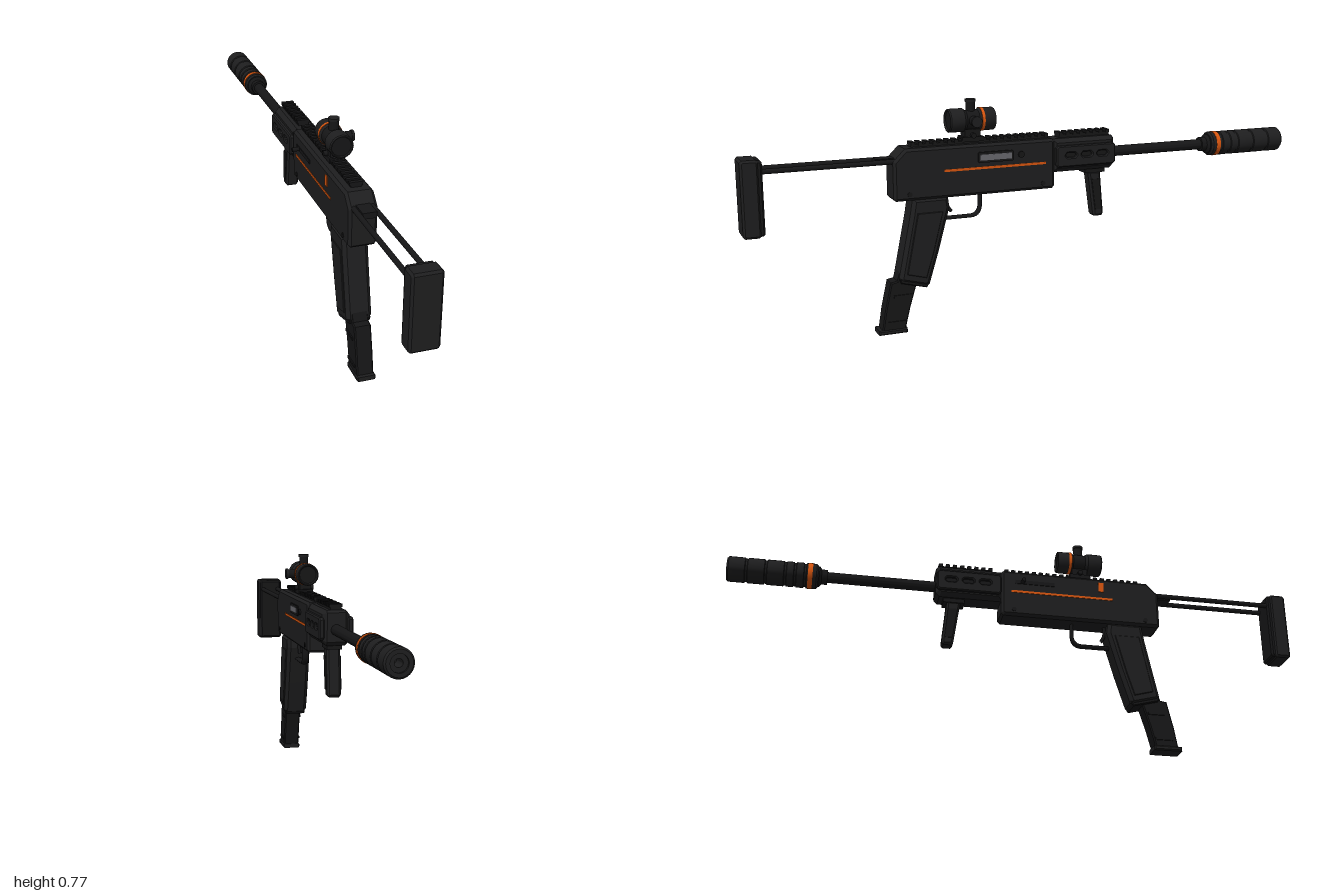
import * as THREE from 'three';
import { toCreasedNormals } from 'three/addons/utils/BufferGeometryUtils.js';

const mat = (name, color) => new THREE.MeshStandardMaterial({ name, color });

export function createModel() {
  const polymer = mat('black polymer', 0x1e1e1f);
  const metal = mat('dark metal', 0x161617);
  const orange = mat('orange accent', 0xd9560f);
  const steel = mat('grey steel', 0x68686e);

  const model = new THREE.Group();
  model.name = 'model';
  const body = new THREE.Group();
  body.name = 'carbine';
  body.position.x = 0.0035;
  model.add(body);

  const add = (name, geo, material) => {
    const m = new THREE.Mesh(geo, material);
    m.name = name;
    body.add(m);
    return m;
  };
  const box = (name, w, h, d, x, y, z, material) =>
    add(name, new THREE.BoxGeometry(w, h, d).translate(x, y, z), material);

  // Side profile of [z, y] points, extruded across x with bevelled edges
  const slab = (name, pts, width, bevel, material, x = 0, holes = []) => {
    const shape = new THREE.Shape(pts.map(p => new THREE.Vector2(...p)));
    for (const h of holes) shape.holes.push(new THREE.Path(h.map(p => new THREE.Vector2(...p))));
    const depth = width - 2 * bevel;
    const geo = new THREE.ExtrudeGeometry(shape, {
      depth, bevelEnabled: bevel > 0, bevelThickness: bevel, bevelSize: bevel,
      bevelOffset: -bevel, bevelSegments: 1,
    });
    geo.translate(0, 0, -depth / 2).rotateY(-Math.PI / 2).translate(x, 0, 0);
    return add(name, geo, material);
  };
  const rect = (z0, z1, y0, y1, c = 0) => c
    ? [[z0 + c, y0], [z1 - c, y0], [z1, y0 + c], [z1, y1 - c], [z1 - c, y1], [z0 + c, y1], [z0, y1 - c], [z0, y0 + c]]
    : [[z0, y0], [z1, y0], [z1, y1], [z0, y1]];

  // Turned part along z; points are [radius, z] with z increasing on the outside
  const turned = (name, pts, y, material, sides = 24) => {
    const geo = new THREE.LatheGeometry(pts.map(p => new THREE.Vector2(...p)), sides);
    return add(name, toCreasedNormals(geo.rotateX(Math.PI / 2).translate(0, y, 0), 0.6), material);
  };
  const knob = (name, r, len, x, y, z, axis, material) => {
    const geo = new THREE.CylinderGeometry(r, r, len, 16);
    if (axis === 'x') geo.rotateZ(Math.PI / 2);
    if (axis === 'z') geo.rotateX(Math.PI / 2);
    return add(name, geo.translate(x, y, z), material);
  };

  // Receiver
  slab('receiver', [[-0.06, 0.463], [-0.052, 0.455], [0.505, 0.455], [0.513, 0.463],
    [0.513, 0.587], [0.472, 0.628], [-0.052, 0.628], [-0.06, 0.62]], 0.094, 0.009, polymer);
  for (const s of [-1, 1]) {
    box('sideStripe', 0.003, 0.008, 0.365, s * 0.0475, 0.547, 0.158, orange);
    for (const z of [-0.015, 0.46]) knob('receiverPin', 0.008, 0.003, s * 0.048, 0.477, z, 'x', metal);
  }

  // Ejection port, forward button, selector mark and charging handle
  slab('ejectionFrame', rect(0.095, 0.222, 0.565, 0.601, 0.004), 0.006, 0, metal, 0.049);
  box('ejectionPort', 0.003, 0.02, 0.112, 0.053, 0.583, 0.159, steel);
  knob('boltButton', 0.011, 0.008, 0.049, 0.583, 0.066, 'x', metal);
  box('selectorMark', 0.004, 0.036, 0.018, -0.048, 0.592, 0.3, orange);
  box('chargingSlot', 0.003, 0.014, 0.14, -0.048, 0.585, 0.06, metal);
  knob('chargingHandle', 0.007, 0.03, -0.058, 0.585, 0.016, 'x', metal);

  // Handguard: chamfered core with slotted side panels
  slab('handguard', [[-0.29, 0.522], [-0.277, 0.509], [-0.055, 0.509], [-0.055, 0.625],
    [-0.282, 0.625], [-0.29, 0.617]], 0.09, 0.014, polymer);
  const slots = [-0.118, -0.178, -0.238].map(z => rect(z - 0.02, z + 0.02, 0.56, 0.577, 0.006));
  for (const s of [-1, 1]) {
    slab('handguardPanel', rect(-0.288, -0.062, 0.528, 0.602, 0.008), 0.018, 0.004, polymer, s * 0.048, slots);
    box('ventShadow', 0.004, 0.022, 0.17, s * 0.044, 0.568, -0.178, metal);
  }

  // Top rails with evenly spaced teeth
  const rail = (name, z0, z1) => {
    box(name, 0.036, 0.012, z1 - z0, 0, 0.631, (z0 + z1) / 2, metal);
    const n = Math.round((z1 - z0) / 0.0245);
    for (let i = 0; i < n; i++) {
      const z = z0 + 0.007 + i * (z1 - z0 - 0.014) / (n - 1);
      box(name + 'Tooth', 0.044, 0.011, 0.014, 0, 0.639, z, metal);
    }
  };
  rail('receiverRail', -0.045, 0.445);
  rail('handguardRail', -0.28, -0.088);

  // Barrel and suppressor
  const axisY = 0.561;
  turned('barrel', [[0.0185, -0.67], [0.0185, -0.28]], axisY, metal);
  turned('muzzleCollar', [[0.036, -0.697], [0.036, -0.69], [0.026, -0.682], [0.026, -0.662], [0, -0.662]], axisY, metal);
  const can = [[0, -0.93], [0.012, -0.93], [0.012, -0.992], [0.026, -0.992], [0.026, -1], [0.038, -1], [0.0435, -0.994]];
  for (const z of [-0.935, -0.87, -0.805, -0.772, -0.738])
    can.push([0.0435, z - 0.005], [0.04, z - 0.003], [0.04, z + 0.003], [0.0435, z + 0.005]);
  can.push([0.0435, -0.7], [0.038, -0.694], [0, -0.694]);
  turned('suppressor', can, axisY, polymer);
  turned('suppressorBand', [[0.042, -0.729], [0.0448, -0.729], [0.0448, -0.713], [0.042, -0.713]], axisY, orange);

  // Foregrip
  box('foregripMount', 0.05, 0.016, 0.075, 0, 0.502, -0.224, metal);
  slab('foregrip', [[-0.248, 0.498], [-0.2, 0.498], [-0.207, 0.45], [-0.222, 0.342], [-0.228, 0.335],
    [-0.256, 0.335], [-0.262, 0.344], [-0.252, 0.45]], 0.046, 0.007, polymer);
  for (const s of [-1, 1])
    slab('foregripPanel', [[-0.244, 0.47], [-0.213, 0.47], [-0.228, 0.36], [-0.252, 0.36]], 0.004, 0, metal, s * 0.0235);

  // Pistol grip
  slab('grip', [[0.447, 0.46], [0.457, 0.4], [0.5, 0.19], [0.492, 0.178], [0.408, 0.156], [0.394, 0.162],
    [0.358, 0.28], [0.32, 0.42], [0.325, 0.46]], 0.086, 0.012, polymer);
  for (const s of [-1, 1])
    slab('gripPanel', [[0.434, 0.41], [0.475, 0.205], [0.408, 0.187], [0.382, 0.27], [0.346, 0.41]],
      0.005, 0.002, polymer, s * 0.0435);
  slab('magazineWell', [[0.499, 0.192], [0.494, 0.174], [0.405, 0.151], [0.394, 0.168]], 0.075, 0.003, metal);

  // Curved magazine with side ribs and base plate
  slab('magazine', [[0.48, 0.26], [0.41, 0.24], [0.438, 0.165], [0.462, 0.085], [0.48, 0.012],
    [0.56, 0.012], [0.548, 0.085], [0.527, 0.178], [0.505, 0.182]], 0.057, 0.004, metal);
  for (const s of [-1, 1])
    for (const [z, y] of [[0.488, 0.13], [0.51, 0.04]])
      box('magazineRib', 0.006, 0.008, 0.062, s * 0.0295, y, z, metal).name = 'magazineRib';
  slab('magazineBase', rect(0.474, 0.572, 0, 0.016), 0.064, 0.004, polymer);

  // Trigger guard and trigger
  const v = (y, z) => new THREE.Vector3(0, y, z);
  const guard = new THREE.CurvePath();
  guard.add(new THREE.LineCurve3(v(0.46, 0.2), v(0.41, 0.2)));
  guard.add(new THREE.QuadraticBezierCurve3(v(0.41, 0.2), v(0.376, 0.203), v(0.376, 0.235)));
  guard.add(new THREE.LineCurve3(v(0.376, 0.235), v(0.376, 0.335)));
  add('triggerGuard', new THREE.TubeGeometry(guard, 28, 0.0065, 8).scale(2, 1, 1), metal);
  add('trigger', new THREE.TubeGeometry(new THREE.QuadraticBezierCurve3(
    v(0.46, 0.318), v(0.42, 0.325), v(0.398, 0.303)), 10, 0.006, 8), metal);

  // Stock: twin rods, rear block and butt pad
  for (const s of [-1, 1]) knob('stockRod', 0.0085, 0.46, s * 0.0305, 0.587, 0.72, 'z', metal);
  box('stockLatch', 0.046, 0.02, 0.07, 0, 0.587, 0.53, metal);
  slab('stockPlate', rect(0.93, 0.97, 0.382, 0.624, 0.006), 0.086, 0.006, metal);
  slab('buttPad', rect(0.942, 1, 0.378, 0.627, 0.007), 0.096, 0.007, polymer);

  // Scope mount
  box('scopeMountBase', 0.052, 0.016, 0.075, 0, 0.642, 0.23, metal);
  box('scopeMountPost', 0.04, 0.03, 0.055, 0, 0.66, 0.23, metal);
  for (const s of [-1, 1]) knob('mountScrew', 0.009, 0.014, s * 0.028, 0.655, 0.23, 'x', metal);

  // Scope tube, lenses, orange band and knobs
  const scopeY = 0.705;
  turned('scope', [[0.03, 0.158], [0.034, 0.15], [0.037, 0.15], [0.039, 0.154], [0.039, 0.2], [0.033, 0.208],
    [0.033, 0.25], [0.04, 0.26], [0.04, 0.308], [0.037, 0.312], [0.034, 0.312], [0.032, 0.304]], scopeY, polymer, 16);
  turned('scopeLenses', [[0, 0.157], [0.034, 0.157], [0.033, 0.306], [0, 0.306]], scopeY, metal, 16);
  turned('scopeBand', [[0.037, 0.19], [0.0405, 0.19], [0.0405, 0.2], [0.037, 0.2]], scopeY, orange, 16);
  knob('topTurret', 0.016, 0.04, 0, 0.747, 0.23, 'y', metal);
  knob('topTurretCap', 0.0185, 0.009, 0, 0.77, 0.23, 'y', polymer);
  knob('sideTurret', 0.016, 0.036, 0.044, scopeY, 0.23, 'x', metal);
  knob('sideTurretCap', 0.0185, 0.008, 0.0625, scopeY, 0.23, 'x', polymer);

  return model;
}
